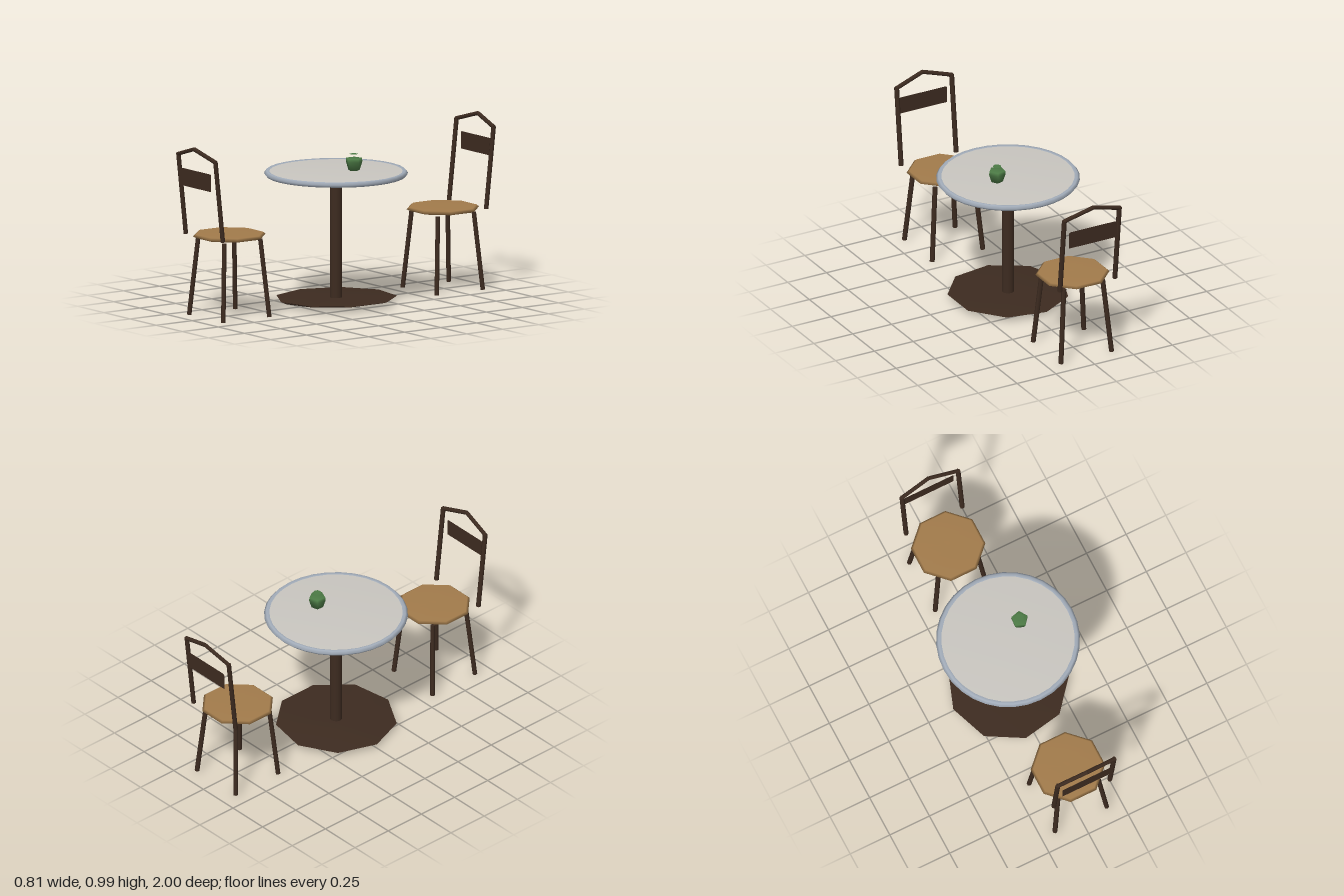
import * as THREE from 'three';

const paint = (color) => new THREE.MeshStandardMaterial({ color, side: THREE.DoubleSide });
const dark = paint(0x3d2b20), seatWood = paint(0xa27b4b), stone = paint(0xc9c6c0);
const metal = paint(0xa3adba), green = paint(0x4c7a45);

function add(parent, name, geometry, material) {
  const mesh = new THREE.Mesh(geometry, material);
  mesh.name = name;
  parent.add(mesh);
  return mesh;
}

// Straight round bar between two points
function bar(parent, name, from, to, radius, sides = 6) {
  const a = new THREE.Vector3(...from), b = new THREE.Vector3(...to);
  const dir = b.clone().sub(a);
  const mesh = add(parent, name, new THREE.CylinderGeometry(radius, radius, dir.length(), sides), dark);
  mesh.position.copy(a).add(b).multiplyScalar(0.5);
  mesh.quaternion.setFromUnitVectors(new THREE.Vector3(0, 1, 0), dir.normalize());
  return mesh;
}

const lathe = (points, sides, start = 0) =>
  new THREE.LatheGeometry(points.map(([x, y]) => new THREE.Vector2(x, y)), sides, start);

// Chair with its back towards +z, origin at the middle of the seat
function makeChair(name) {
  const chair = new THREE.Group();
  chair.name = name;

  add(chair, 'seat', lathe([[0, 0.458], [0.185, 0.452], [0.21, 0.463], [0.195, 0.475], [0, 0.472]], 8, Math.PI / 8), seatWood);

  for (const s of [-1, 1]) {
    for (const t of [-1, 1]) {
      bar(chair, 'leg', [s * 0.163, 0.003, t * 0.16], [s * 0.125, 0.445, t * 0.125], 0.014);
    }
    bar(chair, 'backPost', [s * 0.177, 0.465, 0.173], [s * 0.177, 0.93, 0.225], 0.014);
    bar(chair, 'topRail', [s * 0.182, 0.925, 0.225], [0, 0.979, 0.244], 0.012);
  }

  // Thin back panel with small rounded corners
  const w = 0.155, h = 0.05, r = 0.012;
  const shape = new THREE.Shape();
  shape.moveTo(-w, -h);
  shape.lineTo(w, -h);
  shape.lineTo(w, h - r);
  shape.quadraticCurveTo(w, h, w - r, h);
  shape.lineTo(-w + r, h);
  shape.quadraticCurveTo(-w, h, -w, h - r);
  const panel = add(chair, 'backPanel', new THREE.ShapeGeometry(shape, 3), dark);
  panel.position.set(0, 0.805, 0.238);
  return chair;
}

function makeTable() {
  const table = new THREE.Group();
  table.name = 'table';

  // Top: a slim disc held by a pointed metal rim
  add(table, 'tableTop', lathe([[0, 0.73], [0.388, 0.73], [0.388, 0.75], [0, 0.75]], 32), stone);
  add(table, 'tableRim', lathe([[0.375, 0.728], [0.392, 0.725], [0.405, 0.741], [0.392, 0.756], [0.375, 0.752]], 32), metal);

  bar(table, 'column', [0, 0.025, 0], [0, 0.72, 0], 0.035, 12);

  // Base: thin nine-sided plate whose underside drops towards -x
  const base = lathe([[0, 0.015], [0.31, 0.015], [0.345, 0.03], [0, 0.03]], 9, Math.PI / 6);
  const p = base.attributes.position;
  for (let i = 0; i < p.count; i++) {
    const x = p.getX(i), under = p.getY(i) < 0.02;
    p.setY(i, under ? 0.016 + x * 0.033 : 0.031 + x * 0.012);
  }
  base.computeVertexNormals();
  add(table, 'tableBase', base, dark);
  return table;
}

// Small five-sided cup with a disc floating just over it
function makeCup() {
  const cup = new THREE.Group();
  cup.name = 'cup';
  add(cup, 'cupBody', lathe([[0, 0], [0.034, 0], [0.049, 0.048], [0.047, 0.068], [0, 0.066]], 5, 0.25), green);
  add(cup, 'cupDisc', new THREE.CircleGeometry(0.024, 8).rotateX(-Math.PI / 2), green).position.y = 0.092;
  cup.position.set(0.1, 0.766, -0.052);
  return cup;
}

export function createModel() {
  const model = new THREE.Group();
  model.name = 'cafeTableSet';
  model.add(makeTable(), makeCup());

  const front = makeChair('frontChair');
  front.position.z = 0.742;
  const back = makeChair('backChair');
  back.position.z = -0.742;
  back.rotation.y = Math.PI;
  model.add(front, back);
  return model;
}
